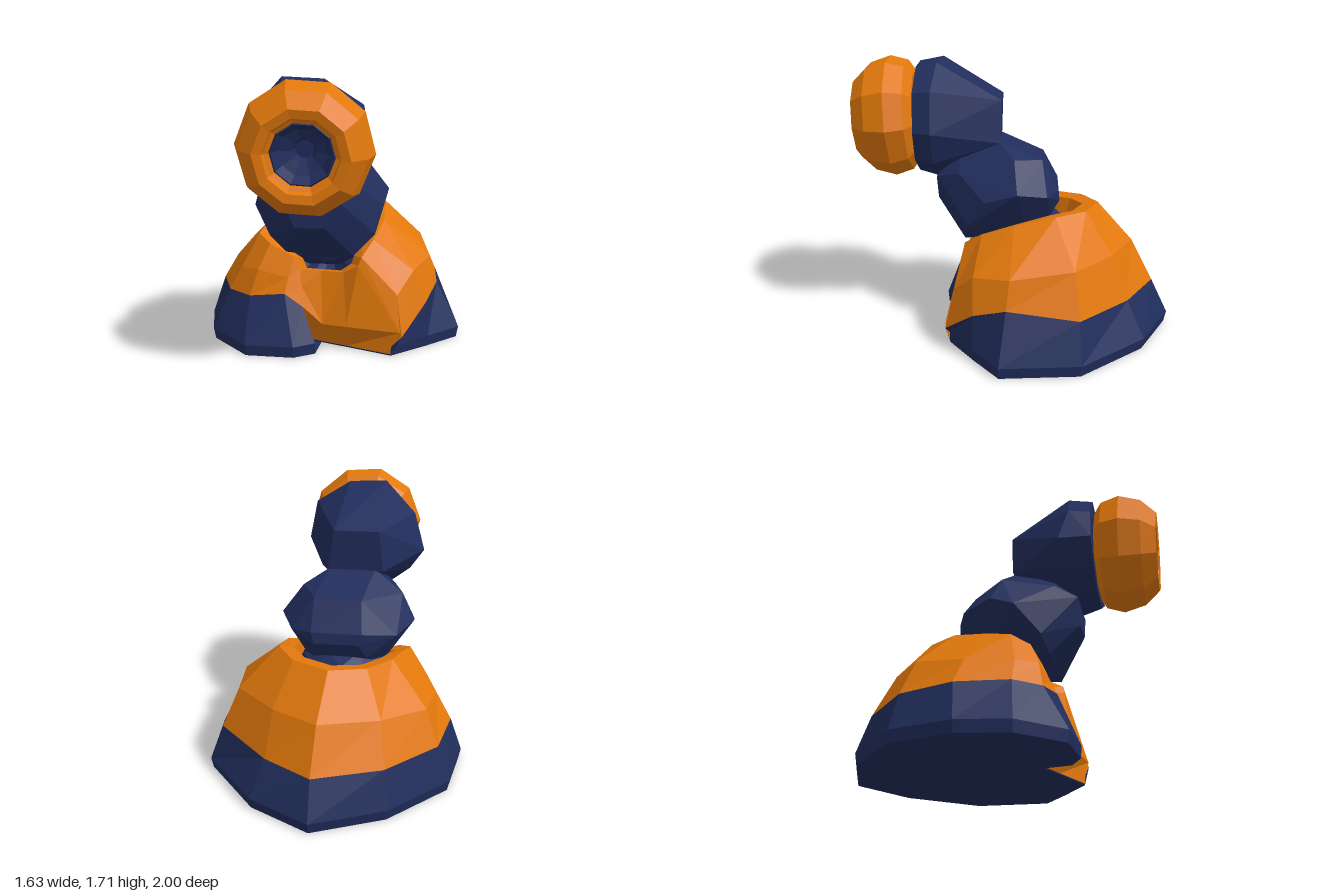
import * as THREE from 'three';
import { ConvexGeometry } from 'three/addons/geometries/ConvexGeometry.js';

const orange = new THREE.MeshStandardMaterial({ color: 0xe2780c, side: THREE.DoubleSide });
orange.name = 'orange shell';
const navy = new THREE.MeshStandardMaterial({ color: 0x212d5c, side: THREE.DoubleSide });
navy.name = 'navy blue';

// Faceted mesh: unshared corners give every face its own normal
function facetMesh(name, geometry, material) {
  const geo = geometry.index ? geometry.toNonIndexed() : geometry;
  geo.computeVertexNormals();
  const mesh = new THREE.Mesh(geo, material);
  mesh.name = name;
  return mesh;
}

// Skin stacked closed rings of [x, y, z]; rings of one point act as caps
function loft(rings) {
  const pos = [];
  for (let r = 0; r + 1 < rings.length; r++) {
    const lo = rings[r], hi = rings[r + 1], n = Math.max(lo.length, hi.length);
    for (let i = 0; i < n; i++) {
      const j = (i + 1) % n;
      const a = lo[i % lo.length], b = lo[j % lo.length];
      const c = hi[j % hi.length], d = hi[i % hi.length];
      if (lo.length > 1) pos.push(...a, ...b, ...c);
      if (hi.length > 1) pos.push(...a, ...c, ...d);
    }
  }
  const geo = new THREE.BufferGeometry();
  geo.setAttribute('position', new THREE.Float32BufferAttribute(pos, 3));
  return geo;
}

// Convex faceted block from its corner points
const block = (name, corners) =>
  facetMesh(name, new ConvexGeometry(corners.map((p) => new THREE.Vector3(...p))), navy);

// Faceted ring turned about the forward axis; profile is [radius, z]
function turned(name, profile, material) {
  const geo = new THREE.LatheGeometry(profile.map((p) => new THREE.Vector2(...p)), 10, 0.25);
  geo.rotateX(Math.PI / 2);
  return facetMesh(name, geo, material);
}

// Base rings run from the front, round the left side, the back, the right, to the front notch
const foot = [
  [0.375, 0.40], [0.38, 0.405], [0.61, 0.24], [0.815, 0.08], [0.78, -0.40], [0.44, -0.80],
  [0.06, -1.0], [-0.38, -0.82], [-0.74, -0.48], [-0.82, -0.10], [-0.76, 0.20],
  [-0.52, 0.45], [-0.22, 0.47], [-0.09, 0.40], [-0.20, 0.17], [0.10, 0.29],
];
const seam = [
  [0.375, 0.01, 0.40], [0.44, 0.13, 0.42], [0.59, 0.29, 0.24], [0.67, 0.36, 0.04], [0.69, 0.31, -0.39],
  [0.36, 0.29, -0.70], [0.06, 0.30, -0.89], [-0.35, 0.30, -0.75], [-0.66, 0.30, -0.46], [-0.74, 0.31, -0.13],
  [-0.65, 0.33, 0.17], [-0.50, 0.34, 0.31], [-0.28, 0.37, 0.35], [-0.17, 0.28, 0.33], [-0.18, 0.01, 0.18],
  [0.10, 0.01, 0.29],
];
const shoulder = [
  [0.43, 0.16, 0.42], [0.41, 0.38, 0.36], [0.51, 0.50, 0.24], [0.62, 0.53, 0.02], [0.58, 0.57, -0.36],
  [0.32, 0.57, -0.60], [0.04, 0.57, -0.75], [-0.32, 0.55, -0.62], [-0.58, 0.52, -0.40], [-0.64, 0.48, -0.10],
  [-0.57, 0.48, 0.17], [-0.45, 0.50, 0.28], [-0.26, 0.46, 0.31], [-0.18, 0.40, 0.29], [-0.05, 0.16, 0.31],
  [0.10, 0.17, 0.37],
];
const rim = [
  [0.17, 0.55, 0.32], [0.19, 0.60, 0.31], [0.26, 0.68, 0.20], [0.33, 0.76, 0.0], [0.34, 0.82, -0.25],
  [0.22, 0.82, -0.44], [0.0, 0.81, -0.53], [-0.22, 0.79, -0.44], [-0.36, 0.77, -0.25], [-0.42, 0.73, -0.03],
  [-0.46, 0.69, 0.12], [-0.38, 0.65, 0.22], [-0.23, 0.58, 0.26], [-0.19, 0.50, 0.26], [-0.06, 0.49, 0.25],
  [0.08, 0.49, 0.27],
];

function buildBase() {
  const base = new THREE.Group();
  base.name = 'base';
  const skirtEdge = foot.map(([x, z], i) => [x, Math.min(0.07, seam[i][1] * 0.5), z]);
  const ground = foot.map(([x, z]) => [x * 0.985, 0, z * 0.985]);
  // Pull the rim in and down to line the opening
  const inset = (k, drop) =>
    rim.map(([x, y, z]) => [-0.03 + (x + 0.03) * k, y - drop, -0.08 + (z + 0.08) * k]);
  const throat = inset(0.72, 0.12);
  base.add(
    facetMesh('skirt', loft([[[0, 0, -0.2]], ground, skirtEdge, seam]), navy),
    facetMesh('shell', loft([seam, shoulder, rim, inset(0.78, 0.015), throat]), orange),
    facetMesh('socketFloor', loft([throat, [[-0.03, 0.55, -0.08]]]), navy),
  );
  // Ball joint seated in the opening
  const joint = new THREE.IcosahedronGeometry(1, 1);
  joint.scale(0.31, 0.17, 0.3);
  joint.translate(-0.05, 0.63, -0.03);
  base.add(facetMesh('neckJoint', joint, navy));
  return base;
}

function buildLowerArm() {
  return block('lowerArm', [
    // back
    [-0.15, 0.86, -0.28], [0.12, 0.86, -0.28], [-0.17, 0.93, -0.275], [0.14, 0.93, -0.27],
    [-0.16, 1.11, -0.18], [0.13, 1.12, -0.17], [-0.38, 0.90, -0.19], [0.27, 0.92, -0.20],
    [-0.20, 0.76, -0.23], [0.12, 0.77, -0.23],
    // sides and top
    [-0.48, 0.93, 0.0], [-0.48, 0.88, 0.14], [0.355, 0.96, -0.02], [0.32, 0.90, 0.18],
    [-0.22, 1.22, 0.10], [0.07, 1.22, 0.10], [-0.40, 1.09, 0.05], [0.22, 1.14, 0.0],
    // saddle that runs up into the upper arm
    [-0.24, 1.15, 0.34], [0.05, 1.15, 0.34], [-0.34, 1.04, 0.36], [0.17, 1.04, 0.34],
    // front and underside
    [-0.26, 0.99, 0.49], [0.06, 0.99, 0.49], [-0.02, 0.83, 0.49], [-0.20, 0.83, 0.49],
    [0.27, 0.74, 0.28], [-0.37, 0.72, 0.28], [-0.27, 0.63, 0.31], [0.14, 0.61, 0.31],
    [-0.28, 0.66, -0.08], [0.17, 0.67, -0.08], [0.0, 0.58, 0.26],
  ]);
}

function buildUpperArm() {
  const collar = [
    [-0.52, 1.26, 0.42], [-0.45, 1.49, 0.48], [-0.26, 1.70, 0.46], [-0.02, 1.69, 0.48], [0.20, 1.55, 0.50],
    [0.25, 1.30, 0.50], [0.17, 1.10, 0.50], [-0.05, 0.97, 0.50], [-0.28, 0.99, 0.50], [-0.43, 1.12, 0.45],
  ];
  const front = collar.map(([x, y]) => [-0.12 + (x + 0.12) * 0.92, 1.35 + (y - 1.35) * 0.92, 0.61]);
  return block('upperArm', [
    [-0.24, 1.47, 0.08], [0.04, 1.47, 0.08], [-0.27, 1.21, 0.09], [0.08, 1.21, 0.09],
    ...collar, ...front,
  ]);
}

function buildMuzzle() {
  const muzzle = new THREE.Group();
  muzzle.name = 'muzzle';
  muzzle.add(
    turned('muzzleRing', [[0.17, -0.16], [0.28, -0.165], [0.345, -0.12], [0.378, -0.01], [0.34, 0.12],
      [0.255, 0.208], [0.205, 0.20], [0.195, 0.17], [0.175, 0.16], [0.175, 0.02]], orange),
    turned('barrelLining', [[0.18, 0.12], [0.165, 0.14], [0.13, 0.08], [0.07, 0.06], [0.05, -0.01], [0, -0.01]], navy),
    turned('muzzleNeck', [[0.17, -0.25], [0.17, -0.05]], navy),
  );
  muzzle.position.set(-0.105, 1.345, 0.78);
  muzzle.rotation.x = 0.05;
  return muzzle;
}

export function createModel() {
  const model = new THREE.Group();
  model.name = 'turret';
  model.add(buildBase(), buildLowerArm(), buildUpperArm(), buildMuzzle());
  return model;
}
